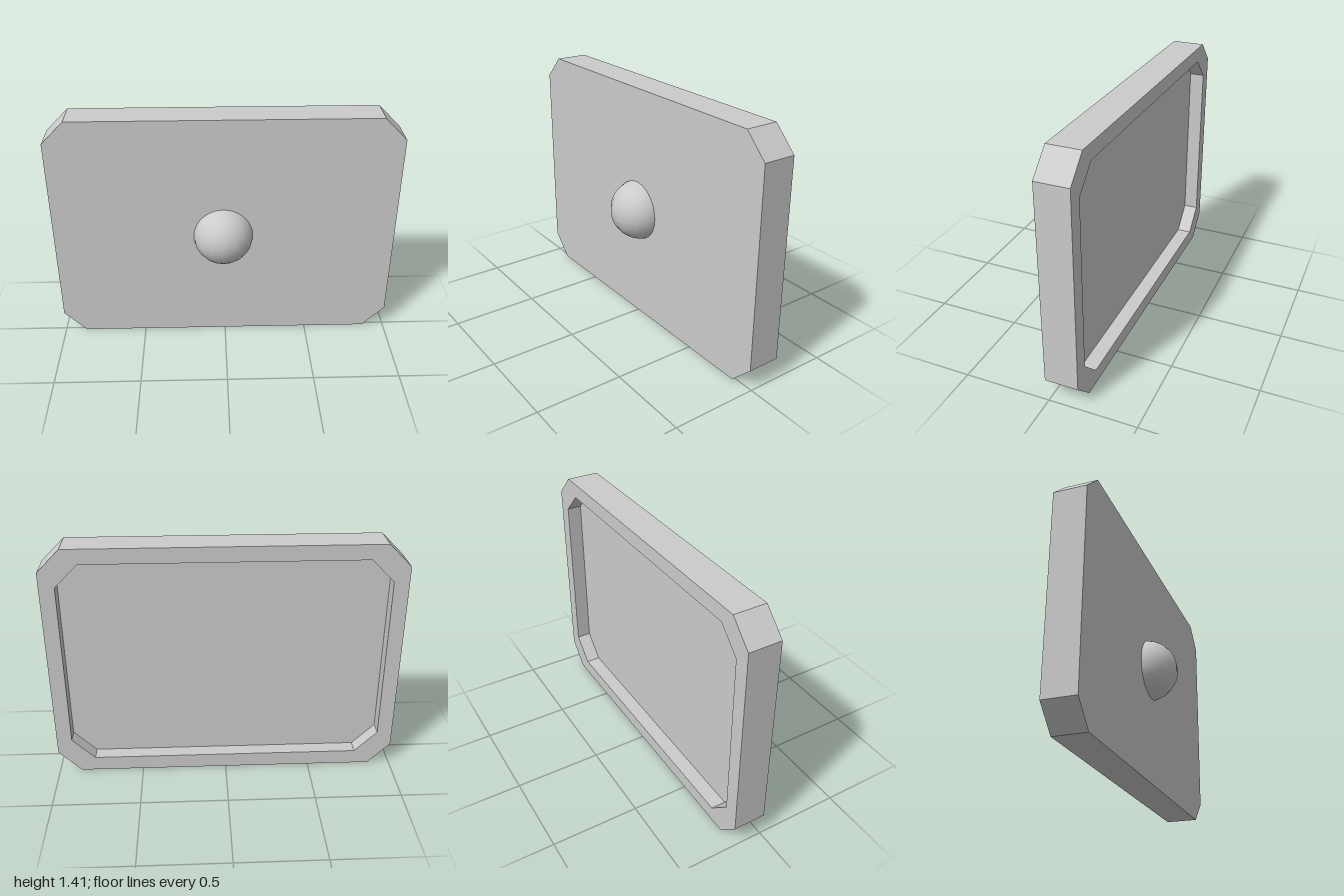
import * as THREE from 'three';

const WIDTH = 2, HEIGHT = 1.41, CHAMFER = 0.13, RIM = 0.087;
const BACK = -0.172, FLOOR = -0.087, FRONT = 0.017;

// Rectangle with cut corners, inset from the outer edge
function cutCornerPoints(inset) {
  const x = WIDTH / 2 - inset, y0 = inset, y1 = HEIGHT - inset, c = CHAMFER;
  return [
    [x - c, y0], [x, y0 + c], [x, y1 - c], [x - c, y1],
    [c - x, y1], [-x, y1 - c], [-x, y0 + c], [c - x, y0],
  ].map(([px, py]) => new THREE.Vector2(px, py));
}

function extrudeBetween(shape, z0, z1) {
  return new THREE.ExtrudeGeometry(shape, { depth: z1 - z0, bevelEnabled: false }).translate(0, 0, z0);
}

export function createModel() {
  const model = new THREE.Group();
  const material = new THREE.MeshStandardMaterial({ color: 0xcccccc });
  const add = (name, geometry) => {
    const mesh = new THREE.Mesh(geometry, material);
    mesh.name = name;
    model.add(mesh);
    return mesh;
  };

  // Solid front slab, also the floor of the rear recess
  add('frontPanel', extrudeBetween(new THREE.Shape(cutCornerPoints(0)), FLOOR, FRONT));

  // Raised frame around the recess at the back
  const frame = new THREE.Shape(cutCornerPoints(0));
  frame.holes.push(new THREE.Path(cutCornerPoints(RIM)));
  add('backRim', extrudeBetween(frame, BACK, FLOOR));

  // Half-ball knob, front half only so it stays clear of the recess
  add('knob', new THREE.SphereGeometry(0.177, 8, 24, 0, Math.PI)).position.set(-0.01, 0.678, -0.005);

  return model;
}
